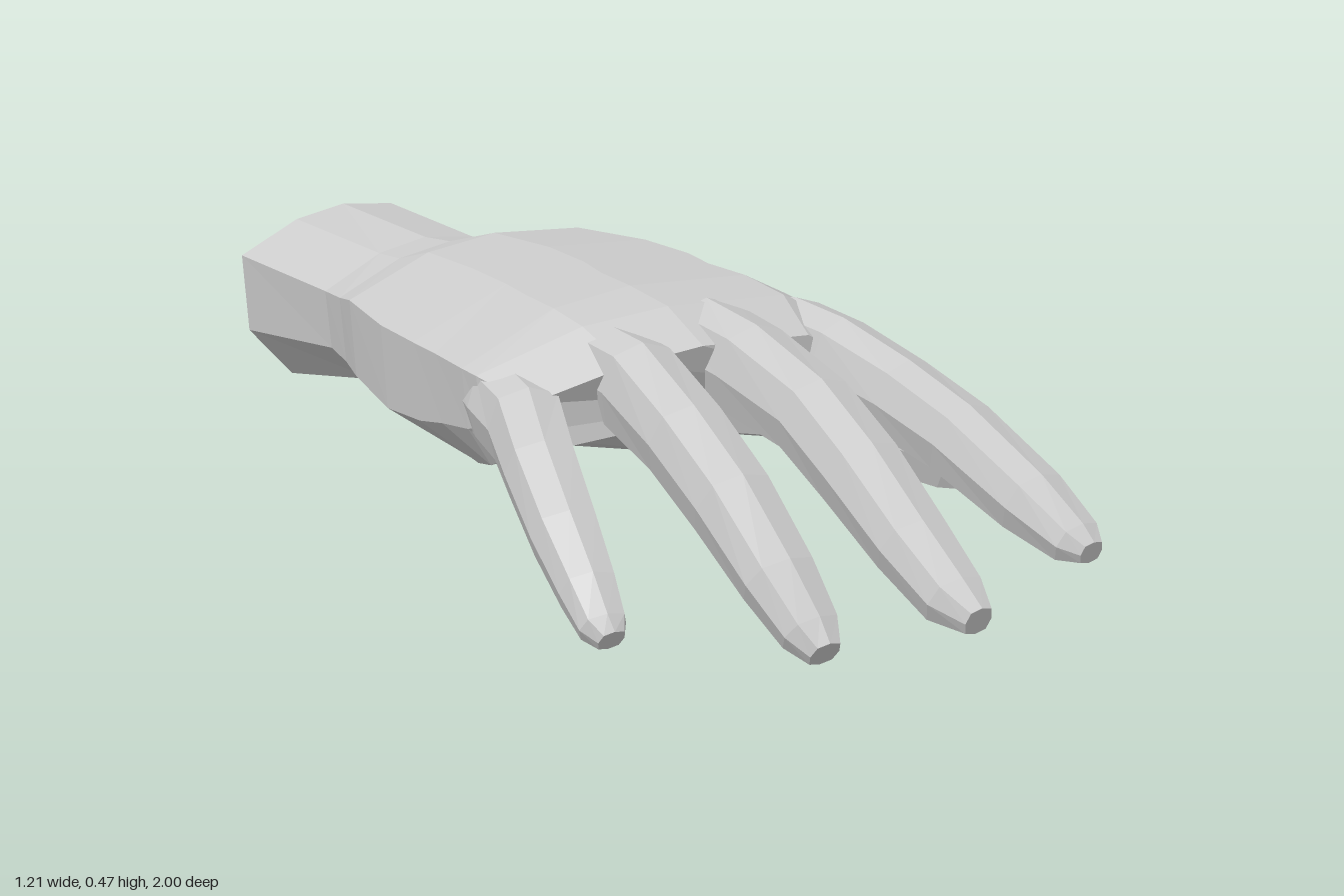
import * as THREE from 'three';

const material = new THREE.MeshStandardMaterial({ color: 0xcccccc, flatShading: true });

// Skin a list of equal-sized rings (counter-clockwise seen from the far end) and cap both ends.
function loft(name, rings) {
  const n = rings[0].length;
  const index = [];
  for (let i = 0; i < rings.length - 1; i++) {
    for (let j = 0; j < n; j++) {
      const k = (j + 1) % n;
      const a = i * n + j, b = i * n + k, c = b + n, d = a + n;
      index.push(a, b, c, a, c, d);
    }
  }
  const last = (rings.length - 1) * n;
  for (let j = 1; j < n - 1; j++) {
    index.push(0, j + 1, j, last, last + j, last + j + 1);
  }
  const indexed = new THREE.BufferGeometry().setFromPoints(rings.flat());
  indexed.setIndex(index);
  const geometry = indexed.toNonIndexed();
  geometry.computeVertexNormals();
  const mesh = new THREE.Mesh(geometry, material);
  mesh.name = name;
  return mesh;
}

// One ten-point section across the wrist or palm; the little-finger side sits further back.
function palmRing([z, xl, xr, top, botL, botM, botR, dropL, dropR, insetL, insetR]) {
  const w = xr - xl, mid = (xl + xr) / 2;
  const sideL = top - dropL, sideR = top - dropR;
  const outline = [
    [xr, THREE.MathUtils.lerp(sideR, botR, 0.65)],
    [xr, sideR],
    [xr - insetR * w, top - 0.012],
    [mid, top],
    [xl + 0.27 * w, top - 0.02],
    [xl, sideL],
    [xl + 0.01, THREE.MathUtils.lerp(sideL, botL, 0.6)],
    [xl + insetL * w, botL],
    [mid, botM],
    [xr - 0.23 * w, botR],
  ];
  return outline.map(([x, y]) => {
    const back = z > 0.2 ? 0.25 * Math.max(0, -0.22 - x) : 0;
    return new THREE.Vector3(x, y, z - back);
  });
}

// A finger: squarish eight-sided rings along a path of [x, y, z, half width, half height].
function digit(name, path) {
  const centers = path.map(([x, y, z]) => new THREE.Vector3(x, y, z));
  const up = new THREE.Vector3(0, 1, 0);
  const rings = path.map(([, , , hw, hh], i) => {
    const from = centers[Math.max(i - 1, 0)];
    const to = centers[Math.min(i + 1, path.length - 1)];
    const along = to.clone().sub(from).normalize();
    const side = up.clone().cross(along).normalize();
    const rise = along.clone().cross(side);
    return Array.from({ length: 8 }, (_, k) => {
      const angle = (k * Math.PI) / 4;
      const bulge = k % 2 ? 1.1 : 1;
      return centers[i].clone()
        .addScaledVector(side, bulge * hw * Math.cos(angle))
        .addScaledVector(rise, bulge * hh * Math.sin(angle));
    });
  });
  return loft(name, rings);
}

export function createModel() {
  const hand = new THREE.Group();
  hand.name = 'hand';

  // Wrist and palm: z, left x, right x, top, three underside heights, edge drops, corner insets
  const sections = [
    [-1.0, -0.36, 0.01, 0.40, 0.13, 0.12, 0.13, 0.06, 0.06, 0.22, 0.25],
    [-0.93, -0.41, 0.05, 0.44, 0.10, 0.08, 0.10, 0.08, 0.08, 0.22, 0.26],
    [-0.6, -0.39, 0.05, 0.43, 0.16, 0.15, 0.16, 0.08, 0.08, 0.22, 0.26],
    [-0.5, -0.41, 0.07, 0.44, 0.15, 0.14, 0.15, 0.08, 0.08, 0.22, 0.22],
    [-0.38, -0.45, 0.17, 0.475, 0.14, 0.13, 0.10, 0.09, 0.10, 0.22, 0.2],
    [-0.2, -0.48, 0.225, 0.48, 0.12, 0.10, 0.065, 0.10, 0.14, 0.25, 0.2],
    [-0.06, -0.49, 0.215, 0.48, 0.14, 0.14, 0.09, 0.10, 0.14, 0.18, 0.18],
    [0.03, -0.495, 0.18, 0.48, 0.17, 0.19, 0.16, 0.10, 0.10, 0.12, 0.16],
    [0.14, -0.505, 0.17, 0.48, 0.20, 0.24, 0.22, 0.10, 0.06, 0.08, 0.14],
    [0.26, -0.505, 0.17, 0.468, 0.23, 0.28, 0.25, 0.09, 0.06, 0.08, 0.14],
    [0.365, -0.47, 0.14, 0.42, 0.27, 0.30, 0.28, 0.07, 0.06, 0.1, 0.14],
  ];
  hand.add(loft('palm', sections.map(palmRing)));

  // Fingers, curling down from roots inside the palm, and the thumb
  const digits = {
    indexFinger: [
      [0.09, 0.36, 0.08, 0.045, 0.06], [0.108, 0.363, 0.25, 0.07, 0.082],
      [0.12, 0.35, 0.36, 0.068, 0.083],
      [0.15, 0.315, 0.50, 0.067, 0.072], [0.178, 0.27, 0.63, 0.066, 0.065],
      [0.195, 0.20, 0.80, 0.062, 0.055], [0.207, 0.155, 0.90, 0.047, 0.037],
      [0.21, 0.145, 0.935, 0.025, 0.02],
    ],
    middleFinger: [
      [-0.08, 0.37, 0.10, 0.06, 0.06], [-0.08, 0.387, 0.25, 0.078, 0.082],
      [-0.078, 0.37, 0.38, 0.073, 0.083],
      [-0.07, 0.33, 0.55, 0.07, 0.07], [-0.07, 0.265, 0.68, 0.07, 0.065],
      [-0.07, 0.18, 0.82, 0.064, 0.055], [-0.07, 0.12, 0.93, 0.053, 0.045],
      [-0.068, 0.10, 0.99, 0.027, 0.025],
    ],
    ringFinger: [
      [-0.27, 0.36, 0.08, 0.055, 0.06], [-0.275, 0.37, 0.22, 0.072, 0.078],
      [-0.28, 0.36, 0.34, 0.07, 0.083],
      [-0.29, 0.31, 0.50, 0.07, 0.07], [-0.295, 0.24, 0.64, 0.068, 0.065],
      [-0.295, 0.15, 0.77, 0.063, 0.052], [-0.29, 0.085, 0.85, 0.05, 0.04],
      [-0.29, 0.06, 0.89, 0.028, 0.025],
    ],
    littleFinger: [
      [-0.42, 0.32, 0.02, 0.04, 0.05], [-0.445, 0.32, 0.18, 0.068, 0.07],
      [-0.462, 0.305, 0.28, 0.066, 0.075],
      [-0.505, 0.265, 0.40, 0.062, 0.065], [-0.54, 0.20, 0.53, 0.057, 0.055],
      [-0.56, 0.14, 0.63, 0.048, 0.045], [-0.57, 0.10, 0.69, 0.04, 0.032],
      [-0.57, 0.085, 0.715, 0.024, 0.02],
    ],
    thumb: [
      [-0.02, 0.28, -0.50, 0.04, 0.06], [0.11, 0.24, -0.32, 0.08, 0.11],
      [0.235, 0.205, -0.16, 0.115, 0.135],
      [0.34, 0.175, -0.04, 0.085, 0.105], [0.42, 0.12, 0.09, 0.077, 0.08],
      [0.515, 0.066, 0.19, 0.066, 0.06], [0.56, 0.055, 0.235, 0.05, 0.05],
      [0.58, 0.05, 0.255, 0.03, 0.03],
    ],
  };
  for (const [name, path] of Object.entries(digits)) hand.add(digit(name, path));

  return hand;
}
